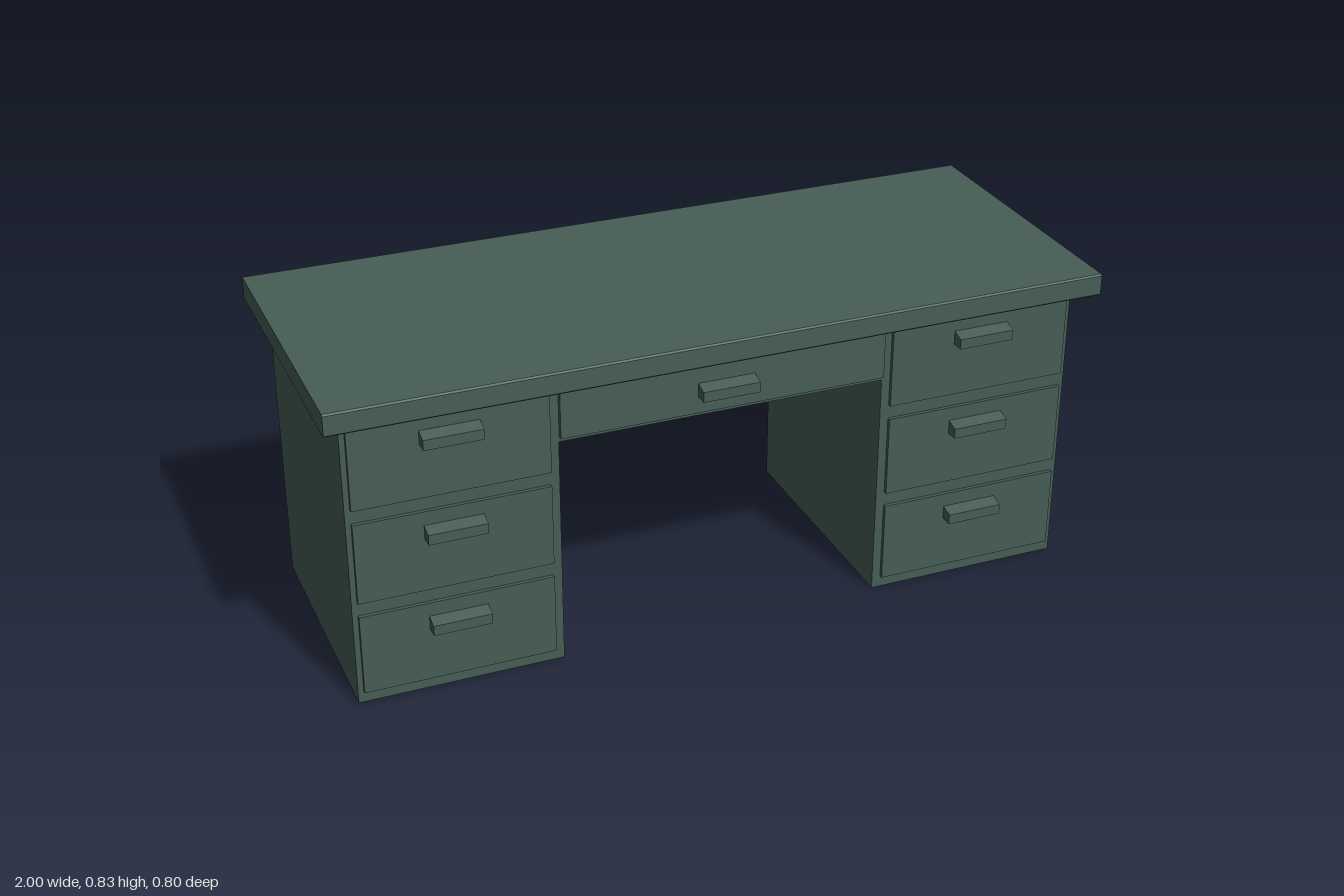
import * as THREE from 'three';

export function createModel() {
  const desk = new THREE.Group();
  desk.name = 'desk';
  const paint = new THREE.MeshStandardMaterial({ color: 0x465d55 });
  paint.name = 'darkGreenPaint';

  const add = (name, geometry, x = 0, y = 0, z = 0) => {
    const mesh = new THREE.Mesh(geometry, paint);
    mesh.name = name;
    mesh.position.set(x, y, z);
    desk.add(mesh);
  };
  const extrude = (points, depth) => {
    const shape = new THREE.Shape(points.map(([x, y]) => new THREE.Vector2(x, y)));
    return new THREE.ExtrudeGeometry(shape, { depth, bevelEnabled: false })
      .translate(0, 0, -depth / 2);
  };
  // Profile given as [z, y], swept along x
  const sweepX = (points, width) =>
    extrude(points.map(([z, y]) => [-z, y]).reverse(), width).rotateY(Math.PI / 2);

  // Worktop with slightly eased long edges
  const e = 0.004, d = 0.399, lo = 0.769, hi = 0.827;
  add('worktop', sweepX([
    [-d + e, lo], [d - e, lo], [d, lo + e], [d, hi - e],
    [d - e, hi], [-d + e, hi], [-d, hi - e], [-d, lo + e],
  ], 2));

  // Two pedestals joined by the bridge over the knee space
  add('carcass', extrude([
    [-0.953, 0], [-0.426, 0], [-0.426, 0.61], [0.426, 0.61],
    [0.426, 0], [0.953, 0], [0.953, 0.769], [-0.953, 0.769],
  ], 0.67));

  // Wedge-topped pull handle, origin at the bottom of its drawer-side face
  const handle = sweepX([[-0.002, 0], [0.033, 0], [0.033, 0.027], [-0.002, 0.037]], 0.148);

  // Three drawers in each pedestal
  const front = new THREE.BoxGeometry(0.49, 0.215, 0.012);
  for (const side of [-1, 1]) {
    for (let i = 0; i < 3; i++) {
      const bottom = 0.031 + i * 0.2525;
      add('drawerFront', front, side * 0.694, bottom + 0.1075, 0.339);
      add('drawerHandle', handle, side * 0.694, bottom + 0.142, 0.345);
    }
  }

  // Wide drawer above the knee space
  add('centreDrawerFront', new THREE.BoxGeometry(0.85, 0.127, 0.015), 0, 0.6865, 0.3405);
  add('centreDrawerHandle', handle, 0, 0.667, 0.348);

  return desk;
}
